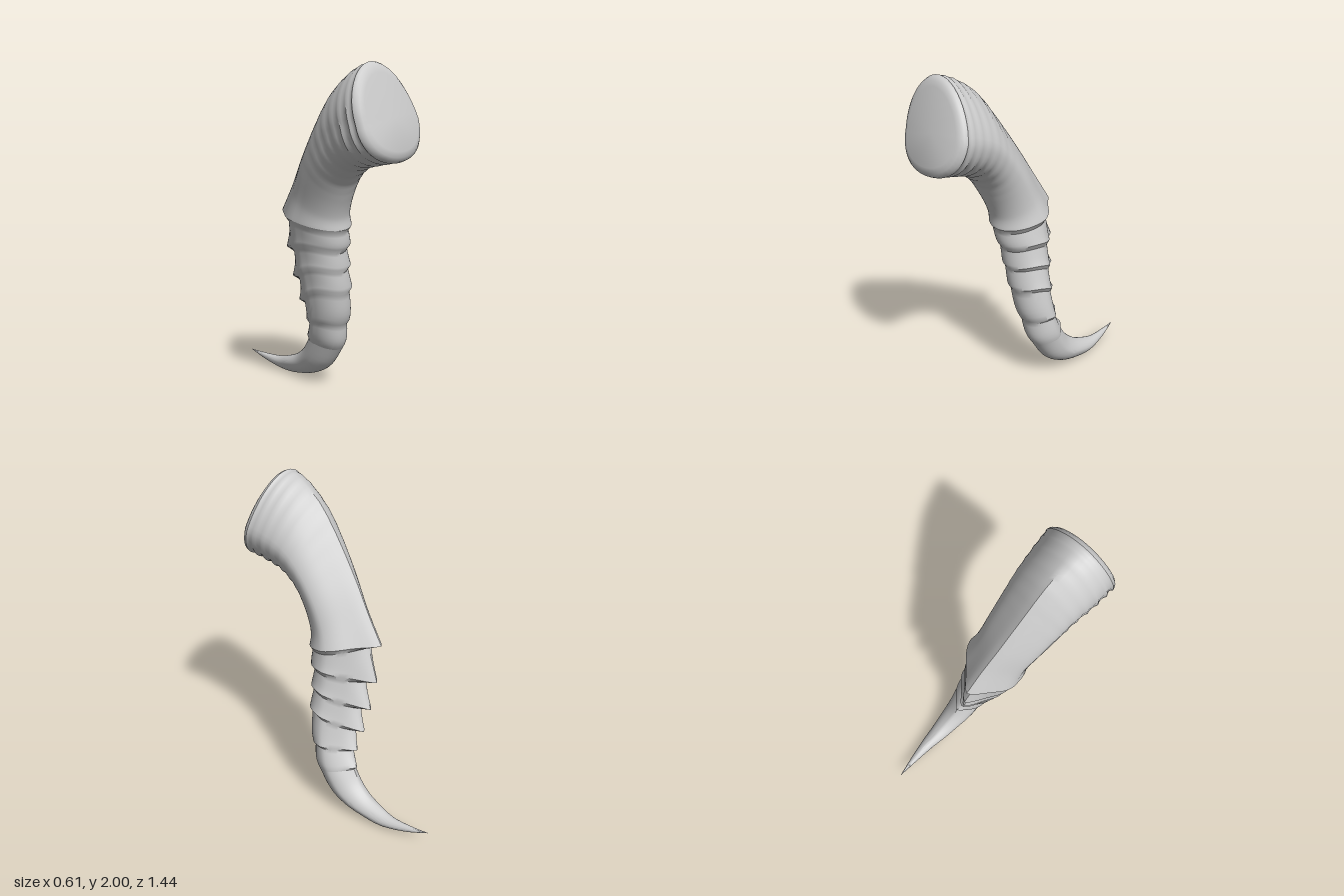
import * as THREE from 'three';
import { toCreasedNormals } from 'three/addons/utils/BufferGeometryUtils.js';

const SIDES = 48;
// The horn bends in a vertical plane turned about y: forward (UX, UZ), sideways (UZ, -UX)
const UX = 0.41, UZ = 0.91;

// Section row: [front z, front y, back z, back y, sideways offset, half width, keel sharpness, side arch, fin, wrinkle]
function section([fz, fy, bz, by, v, w, keel, arch, fin, wrinkle]) {
  const fu = (fz + UX * v) / UZ, bu = (bz + UX * v) / UZ;
  const ring = [];
  for (let j = 0; j < SIDES; j++) {
    const t = (j / SIDES) * Math.PI * 2;
    const c = Math.cos(t), s = Math.sin(t);
    const fold = Math.min(t, Math.PI * 2 - t);
    // the back half narrows to a keel, with a fin standing out along it
    const wedge = c < 0 ? THREE.MathUtils.lerp(c, 1 - (2 * fold) / Math.PI, keel) : c;
    const swell = 1 + wrinkle * (0.35 + 0.65 * (1 + c) / 2) * (1 + 0.4 * Math.sin(3 * t));
    const along = wedge * swell;
    const ridge = (fin / UZ) * Math.exp(-(((Math.PI - fold) / 0.42) ** 2));
    const u = (fu + bu) / 2 + ((fu - bu) / 2) * along - ridge;
    // the arch falls in a chevron where the keel is sharp
    const lift = arch * Math.abs(s) ** (c < 0 ? 2 - 2 * keel : 2);
    const y = (fy + by) / 2 + ((fy - by) / 2) * along + lift;
    const side = v + w * s * swell - 0.18 * w * Math.max(0, -c);
    ring.push([u * UX + side * UZ, y, u * UZ - side * UX]);
  }
  return ring;
}

// Skin a list of section rows
function skin(name, rows, material) {
  const pos = rows.flatMap((r) => section(r).flat());
  const index = [];
  for (let i = 0; i < rows.length - 1; i++) {
    for (let j = 0; j < SIDES; j++) {
      const k = (j + 1) % SIDES;
      const a = i * SIDES + j, b = i * SIDES + k;
      const c = a + SIDES, d = b + SIDES;
      index.push(a, c, b, b, c, d);
    }
  }
  const geo = new THREE.BufferGeometry();
  geo.setAttribute('position', new THREE.Float32BufferAttribute(pos, 3));
  geo.setIndex(index);
  const mesh = new THREE.Mesh(toCreasedNormals(geo, 0.7), material);
  mesh.name = name;
  return mesh;
}

// Smooth rows between key sections
function smoothRows(keys, steps) {
  const out = [];
  const at = (i) => keys[Math.max(0, Math.min(keys.length - 1, i))];
  for (let i = 0; i < keys.length - 1; i++) {
    for (let n = 0; n < steps; n++) {
      const t = n / steps;
      out.push(at(i).map((p1, q) => {
        const p0 = at(i - 1)[q], p2 = at(i + 1)[q], p3 = at(i + 2)[q];
        return p1 + 0.5 * t * (p2 - p0 + t * (2 * p0 - 5 * p1 + 4 * p2 - p3 + t * (3 * (p1 - p2) + p3 - p0)));
      }));
    }
  }
  out.push(at(keys.length - 1).slice());
  return out;
}

export function createModel() {
  const group = new THREE.Group();
  group.name = 'horn';
  const material = new THREE.MeshStandardMaterial({ color: 0xcccccc });

  // Base: thick wrinkled trunk running down to the first ring
  const trunk = smoothRows([
    [0.635, 1.47, 0.51, 2.0, -0.165, 0.246, 0, -0.05, 0, 0],
    [0.525, 1.445, 0.42, 1.965, -0.168, 0.238, 0.2, -0.045, 0, 0],
    [0.41, 1.41, 0.285, 1.865, -0.162, 0.22, 0.45, -0.035, 0.005, 0],
    [0.315, 1.33, 0.165, 1.70, -0.153, 0.203, 0.6, -0.02, 0.015, 0],
    [0.25, 1.22, 0.022, 1.47, -0.135, 0.187, 0.65, 0, 0.025, 0],
    [0.205, 1.11, -0.08, 1.285, -0.115, 0.178, 0.6, 0, 0.037, 0],
    [0.2, 1.04, -0.16, 1.12, -0.1, 0.192, 0.5, 0.01, 0.06, 0],
  ], 8);
  trunk.forEach((r, i) => {
    const f = i / (trunk.length - 1);
    r[9] = -0.055 * Math.max(0, 1 - f / 0.65) * Math.abs(Math.sin(i * Math.PI / 4));
  });
  // Closed cut face with a rounded rim
  const cap = [
    [0.612, 1.71, 0.612, 1.71, -0.165, 0, 0, 0, 0, 0],
    [0.67, 1.535, 0.553, 1.945, -0.165, 0.195, 0, -0.04, 0, 0],
    [0.666, 1.503, 0.542, 1.973, -0.165, 0.222, 0, -0.045, 0, 0],
    [0.655, 1.48, 0.528, 1.992, -0.165, 0.239, 0, -0.05, 0, 0],
  ];
  group.add(skin('base', [...cap, ...trunk], material));

  // Ringed segments: each starts at an undercut and flares to a lip with a hooked keel
  const segments = [
    [[0.183, 1.01, -0.14, 1.085, -0.1, 0.17, 0.5, 0.01, 0, 0], [0.165, 0.92, -0.155, 0.88, -0.075, 0.174, 0.5, 0.05, 0.073, 0]],
    [[0.145, 0.89, -0.14, 0.85, -0.075, 0.153, 0.5, 0.045, 0, 0], [0.14, 0.79, -0.15, 0.695, -0.05, 0.16, 0.5, 0.06, 0.07, 0]],
    [[0.125, 0.765, -0.14, 0.67, -0.05, 0.143, 0.5, 0.055, 0, 0], [0.118, 0.65, -0.15, 0.54, -0.02, 0.149, 0.5, 0.06, 0.062, 0]],
    [[0.103, 0.625, -0.145, 0.52, -0.02, 0.132, 0.5, 0.055, 0, 0], [0.055, 0.43, -0.165, 0.415, 0.018, 0.13, 0.5, 0.03, 0.045, 0]],
    [[0.043, 0.41, -0.165, 0.395, 0.018, 0.115, 0.5, 0.03, 0, 0], [0.003, 0.27, -0.213, 0.31, 0.042, 0.106, 0.5, 0.01, 0.025, 0]],
  ];
  const rings = [trunk[trunk.length - 1]];
  for (const [start, end] of segments) {
    for (let n = 0; n <= 6; n++) {
      const t = n / 6;
      // front and width flare late, forming the lip
      rings.push(start.map((p, q) => p + (end[q] - p) * (q === 5 ? t ** 4 : q === 0 ? 0.5 * t + 0.5 * t ** 4 : t)));
    }
  }
  const tipStart = [-0.008, 0.255, -0.215, 0.293, 0.045, 0.1, 0.5, 0.01, 0.008, 0];
  rings.push(tipStart);
  group.add(skin('ringedSegments', rings, material));

  // Tip: smooth hook sweeping back to a point
  const tip = smoothRows([
    tipStart,
    [-0.09, 0.13, -0.275, 0.21, 0.05, 0.09, 0.4, 0, 0, 0],
    [-0.19, 0.06, -0.35, 0.145, 0.055, 0.075, 0.3, 0, 0, 0],
    [-0.31, 0.02, -0.44, 0.105, 0.055, 0.058, 0.25, 0, 0, 0],
    [-0.45, 0.002, -0.52, 0.083, 0.055, 0.04, 0.2, 0, 0, 0],
    [-0.6, 0.03, -0.62, 0.077, 0.04, 0.02, 0.1, 0, 0, 0],
    [-0.722, 0.078, -0.722, 0.08, 0.02, 0.001, 0, 0, 0, 0],
  ], 4);
  group.add(skin('tip', tip, material));

  return group;
}
